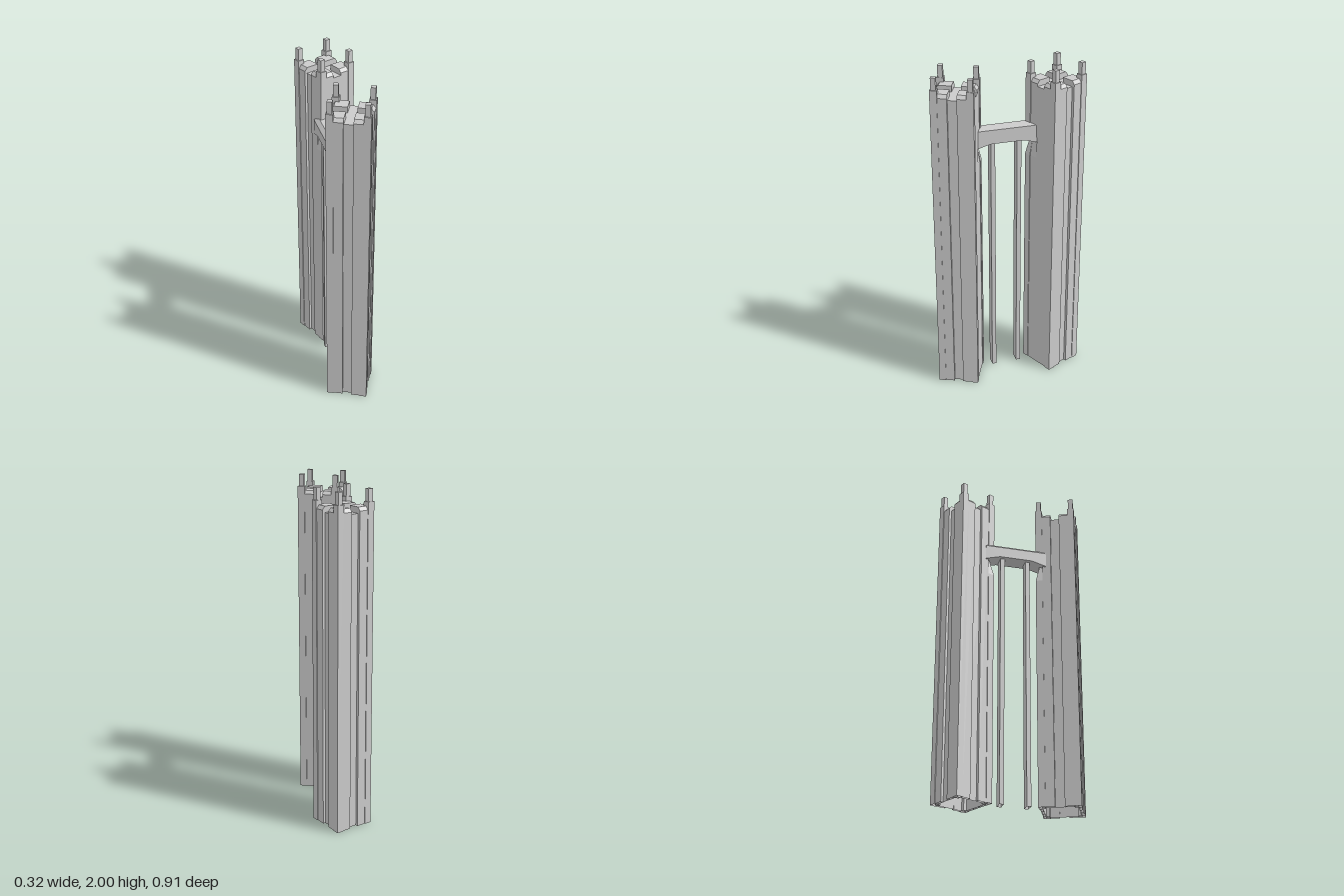
import * as THREE from 'three';
import { ConvexGeometry } from 'three/addons/geometries/ConvexGeometry.js';

const material = new THREE.MeshStandardMaterial({ color: 0xcccccc, flatShading: true, side: THREE.DoubleSide });

function add(parent, name, geometry) {
  const mesh = new THREE.Mesh(geometry, material);
  mesh.name = name;
  parent.add(mesh);
  return mesh;
}

// Box from its limits; boxes standing on the ground are left open underneath
function box(parent, name, x0, x1, y0, y1, z0, z1) {
  const g = new THREE.BoxGeometry(Math.abs(x1 - x0), y1 - y0, Math.abs(z1 - z0));
  if (y0 === 0) {
    const index = Array.from(g.index.array);
    index.splice(18, 6);
    g.setIndex(index);
    g.clearGroups();
  }
  g.translate((x0 + x1) / 2, (y0 + y1) / 2, (z0 + z1) / 2);
  return add(parent, name, g);
}

// Tapered block between two rectangles [x0, x1, z0, z1] at heights y0 and y1
function taper(parent, name, y0, a, y1, b) {
  const points = [];
  for (const [y, r] of [[y0, a], [y1, b]])
    for (const x of [r[0], r[1]])
      for (const z of [r[2], r[3]]) points.push(new THREE.Vector3(x, y, z));
  return add(parent, name, new ConvexGeometry(points));
}

const OUT = 0.122, CORE = 0.102, STRIP = 0.118, PIER = 0.081, GAP = 0.027;
const ROOF = 1.87, PARAPET = 1.905;

// s = -1 builds the front tower, s = 1 the back one
function tower(s) {
  const t = new THREE.Group();
  t.name = s > 0 ? 'backTower' : 'frontTower';
  box(t, 'core', -CORE, CORE, 0, ROOF, -CORE, CORE);

  for (const i of [-1, 1]) for (const k of [-1, 1]) {
    const j = k * s;
    const inner = i === -1 && k === 1;

    // corner merlon and pinnacle
    box(t, 'merlon', i * GAP, i * CORE, ROOF, PARAPET, j * GAP, j * CORE);
    box(t, 'pinnacle', i * 0.087, i * 0.116, 1.93, 2, j * 0.087, j * 0.116);

    // corner pier, cut back below the bridge on the inner corner
    const pier = [i * PIER, i * OUT, j * PIER, j * OUT];
    if (inner) {
      box(t, 'lowerPier', pier[0], pier[1], 0, 1.43, pier[2], pier[3]);
      taper(t, 'pierTaper', 1.43, pier, 1.53, [i * PIER, i * CORE, j * PIER, j * CORE]);
      box(t, 'upperPier', pier[0], pier[1], 1.56, 1.93, pier[2], pier[3]);
    } else {
      box(t, 'cornerPier', pier[0], pier[1], 0, 1.93, pier[2], pier[3]);
    }

    // pilaster strips beside the pier, with sloping caps
    const strips = [
      [i * 0.1, i * STRIP, j * GAP, j * PIER],
      [i * GAP, i * PIER, j * 0.1, j * STRIP]
    ];
    strips.forEach((r, n) => {
      const cap = n === 0 ? [r[0], i * CORE, r[2], r[3]] : [r[0], r[1], r[2], j * CORE];
      if (inner && n === 1) {
        box(t, 'lowerStrip', r[0], r[1], 0, 1.43, r[2], r[3]);
        taper(t, 'stripTaper', 1.43, r, 1.53, cap);
        box(t, 'upperStrip', r[0], r[1], 1.56, 1.885, r[2], r[3]);
      } else {
        box(t, 'strip', r[0], r[1], 0, 1.885, r[2], r[3]);
      }
      taper(t, 'stripCap', 1.885, r, PARAPET, cap);
    });
  }

  // flush panel on the side facing the other tower
  box(t, 'innerPanel', -GAP, GAP, 0, ROOF, s * 0.1, s * STRIP);

  t.rotation.y = 0.427 * s;
  t.position.z = -0.294 * s;
  return t;
}

function bridge() {
  const b = new THREE.Group();
  b.name = 'bridge';

  // beam with slanted haunches, extruded across x
  const profile = new THREE.Shape([
    [-0.19, 1.615], [-0.19, 1.525], [-0.1, 1.55], [0.1, 1.55], [0.19, 1.525], [0.19, 1.615]
  ].map(([z, y]) => new THREE.Vector2(z, y)));
  const beam = new THREE.ExtrudeGeometry(profile, { depth: 0.11, bevelEnabled: false });
  beam.rotateY(-Math.PI / 2);
  beam.translate(0.02, 0, 0);
  add(b, 'beam', beam);

  // deck with one sloping edge
  taper(b, 'deck', 1.615, [-0.09, 0.02, -0.19, 0.19], 1.635, [-0.067, 0.02, -0.17, 0.17]);

  // slender supports
  for (const s of [-1, 1]) box(b, 'support', -0.065, -0.005, 0, 1.56, s * 0.066, s * 0.092);
  return b;
}

export function createModel() {
  const model = new THREE.Group();
  model.name = 'twinTowers';
  model.add(tower(1), tower(-1), bridge());
  return model;
}
